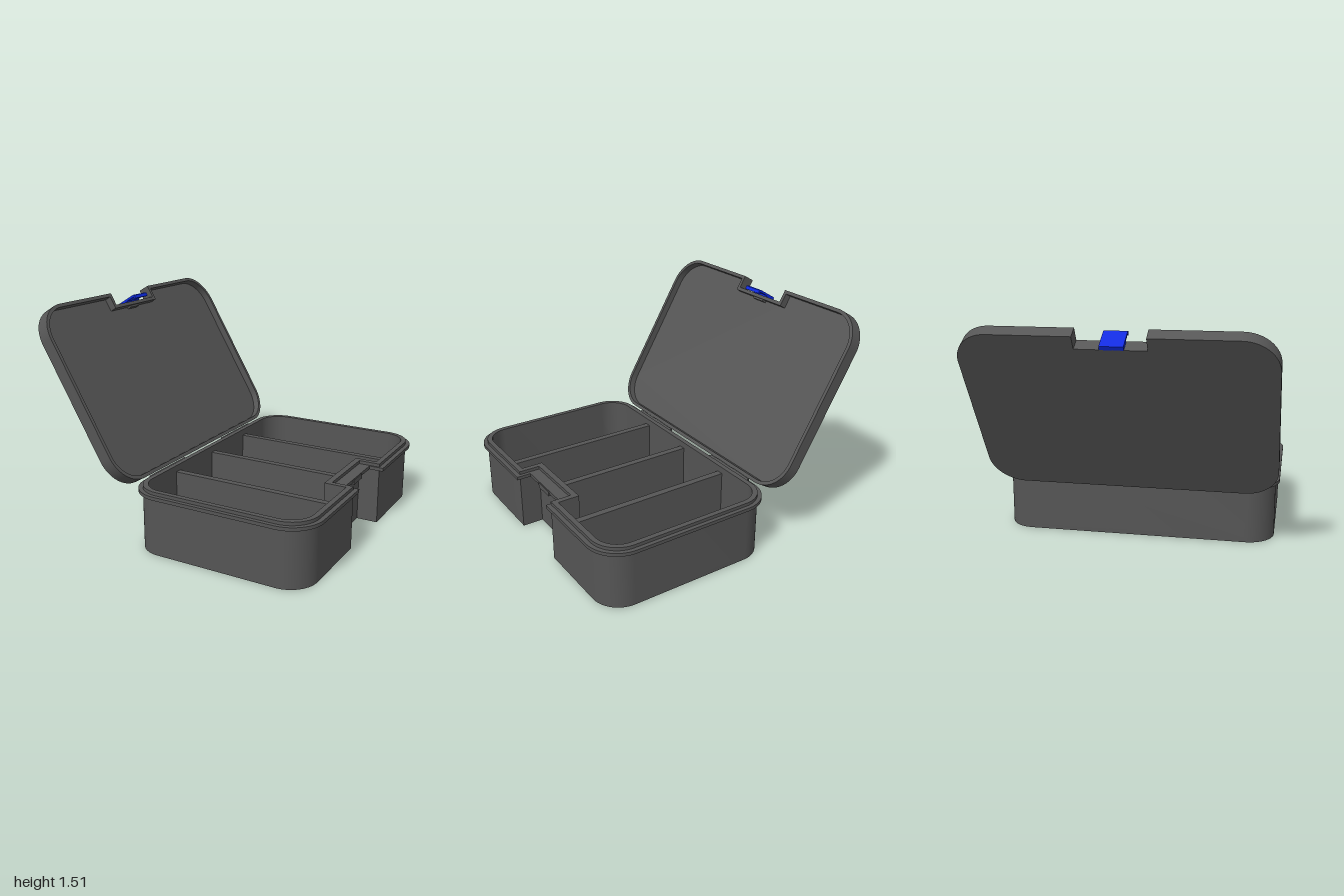
import * as THREE from 'three';
import { toCreasedNormals } from 'three/addons/utils/BufferGeometryUtils.js';

const shell = new THREE.MeshStandardMaterial({ color: 0x555555 });
const blue = new THREE.MeshStandardMaterial({ color: 0x0a28e0 });

// Rounded rectangle with a latch notch in its x1 side and an optional hinge notch in its x0 side.
function trace(path, { x0, x1, h, r, notchX, n0, n1, backX }) {
  path.moveTo(x0 + r, -h);
  path.lineTo(x1 - r, -h);
  path.absarc(x1 - r, -h + r, r, -Math.PI / 2, 0, false);
  path.lineTo(x1, n0);
  path.lineTo(notchX, n0);
  path.lineTo(notchX, n1);
  path.lineTo(x1, n1);
  path.absarc(x1 - r, h - r, r, 0, Math.PI / 2, false);
  path.absarc(x0 + r, h - r, r, Math.PI / 2, Math.PI, false);
  if (backX !== undefined) {
    path.lineTo(x0, 0.25);
    path.lineTo(backX, 0.25);
    path.lineTo(backX, -0.25);
    path.lineTo(x0, -0.25);
  }
  path.absarc(x0 + r, -h + r, r, Math.PI, Math.PI * 1.5, false);
  return path;
}

// Slab or ring standing between two heights along local z.
function slab(name, outer, inner, from, to) {
  const shape = trace(new THREE.Shape(), outer);
  if (inner) shape.holes.push(trace(new THREE.Path(), inner));
  const geo = new THREE.ExtrudeGeometry(shape, { depth: to - from, bevelEnabled: false, curveSegments: 14 });
  geo.translate(0, 0, from);
  const mesh = new THREE.Mesh(toCreasedNormals(geo, 0.5), shell);
  mesh.name = name;
  return mesh;
}

function box(name, x0, x1, y0, y1, z0, z1, material = shell) {
  const mesh = new THREE.Mesh(new THREE.BoxGeometry(x1 - x0, y1 - y0, z1 - z0), material);
  mesh.position.set((x0 + x1) / 2, (y0 + y1) / 2, (z0 + z1) / 2);
  mesh.name = name;
  return mesh;
}

function createBase() {
  const base = new THREE.Group();
  base.name = 'base';
  const outer = { x0: -0.25, x1: 0.97, h: 0.94, r: 0.19, notchX: 0.825, n0: -0.233, n1: 0.233 };
  const inner = { x0: -0.215, x1: 0.935, h: 0.905, r: 0.155, notchX: 0.785, n0: -0.27, n1: 0.27 };
  const middle = { x0: -0.235, x1: 0.953, h: 0.923, r: 0.173, notchX: 0.805, n0: -0.25, n1: 0.25 };
  const rim = { x0: -0.28, x1: 1, h: 0.967, r: 0.22, notchX: 0.903, n0: -0.208, n1: 0.222, backX: -0.255 };

  // Tray: shape y runs towards -z once laid flat
  const tray = new THREE.Group();
  tray.name = 'tray';
  tray.rotation.x = -Math.PI / 2;
  tray.add(
    slab('floor', outer, null, 0, 0.03),
    slab('walls', outer, inner, 0.03, 0.43),
    slab('flange', rim, middle, 0.385, 0.408)
  );
  base.add(tray);

  // Compartment dividers, the middle one ending at the notch wall
  for (const z of [-0.46, -0.005, 0.455]) {
    base.add(box('divider', -0.225, z === -0.005 ? 0.795 : 0.945, 0.02, 0.385, z - 0.023, z + 0.023));
  }

  // Catch under the notch edge, and the two hinge strips
  base.add(box('latchCatch', 0.815, 0.909, 0.37, 0.404, -0.075, 0.07));
  for (const s of [-1, 1]) {
    base.add(box('hingeStrip', -0.3, -0.245, 0.388, 0.405, s * 0.46 - 0.21, s * 0.46 + 0.21));
  }
  return base;
}

function createLid() {
  // Local axes: x from hinge to free edge, y along world z, z towards the inside of the lid
  const lid = new THREE.Group();
  lid.name = 'lid';
  const along = new THREE.Vector3(-0.509, 0.861, 0).normalize();
  const across = new THREE.Vector3(0, 0, 1);
  const inward = new THREE.Vector3().crossVectors(along, across);
  lid.quaternion.setFromRotationMatrix(new THREE.Matrix4().makeBasis(along, across, inward));
  lid.position.set(-0.353, 0.38, 0);

  const outer = { x0: 0, x1: 1.267, h: 0.967, r: 0.22, notchX: 1.177, n0: -0.226, n1: 0.212 };
  const inner = { x0: 0.024, x1: 1.243, h: 0.943, r: 0.196, notchX: 1.153, n0: -0.25, n1: 0.236 };
  lid.add(
    slab('lidPanel', outer, null, 0, 0.035),
    slab('lidRim', outer, inner, 0.035, 0.085),
    box('latchMount', 1.14, 1.178, -0.05, 0.05, 0.02, 0.07)
  );

  // Latch: a strap with a hooked end, drawn in profile and extruded across
  const profile = new THREE.Shape([
    [1.175, 0], [1.202, 0], [1.202, 0.15], [1.194, 0.16], [1.172, 0.16],
    [1.172, 0.148], [1.187, 0.146], [1.187, 0.075], [1.175, 0.07]
  ].map(([x, y]) => new THREE.Vector2(x, y)));
  const geo = new THREE.ExtrudeGeometry(profile, { depth: 0.146, bevelEnabled: false });
  geo.translate(0, 0, -0.073);
  geo.rotateX(Math.PI / 2);
  const latch = new THREE.Mesh(geo, blue);
  latch.name = 'latch';
  lid.add(latch);
  return lid;
}

export function createModel() {
  const model = new THREE.Group();
  model.name = 'compartmentBox';
  model.add(createBase(), createLid());
  return model;
}
